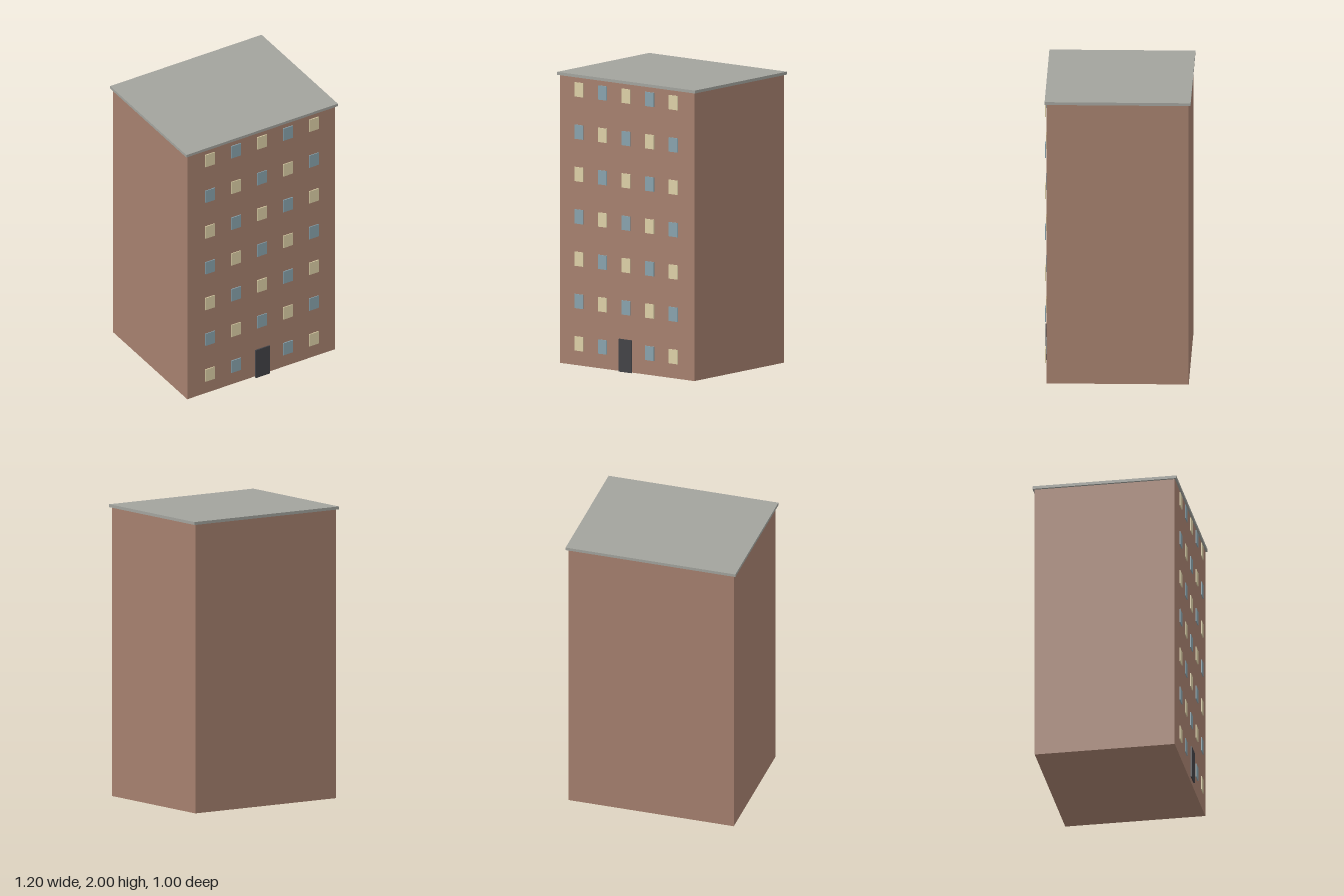
import * as THREE from 'three';

const material = (color) => new THREE.MeshStandardMaterial({ color });

export function createModel() {
  const group = new THREE.Group();
  const brick = material(0xa5806e);
  const slab = material(0xa2a39d);
  const lit = material(0xdccfa6);
  const dark = material(0x88a2ac);
  const doorPaint = material(0x424246);

  // A box standing on y, centred on x and z
  const box = (name, w, h, d, x, y, z, mat) => {
    const mesh = new THREE.Mesh(new THREE.BoxGeometry(w, h, d), mat);
    mesh.name = name;
    mesh.position.set(x, y + h / 2, z);
    group.add(mesh);
  };

  // Main block and overhanging flat roof
  box('walls', 1.174, 1.98, 0.964, 0, 0, -0.005, brick);
  box('roof', 1.204, 0.02, 0.99, 0, 1.98, -0.005, slab);

  // Entrance, standing just proud of the front wall
  box('door', 0.112, 0.225, 0.009, 0, 0, 0.4955, doorPaint);

  // Window panes: seven storeys of five, lit and unlit in a checker pattern
  for (let row = 0; row < 7; row++) {
    for (let col = 0; col < 5; col++) {
      if (row === 0 && col === 2) continue; // the door takes this bay
      const pane = (row + col) % 2 === 0 ? lit : dark;
      box('window', 0.075, 0.098, 0.006, (col - 2) * 0.206, 0.102 + row * 0.291, 0.488, pane);
    }
  }

  return group;
}
